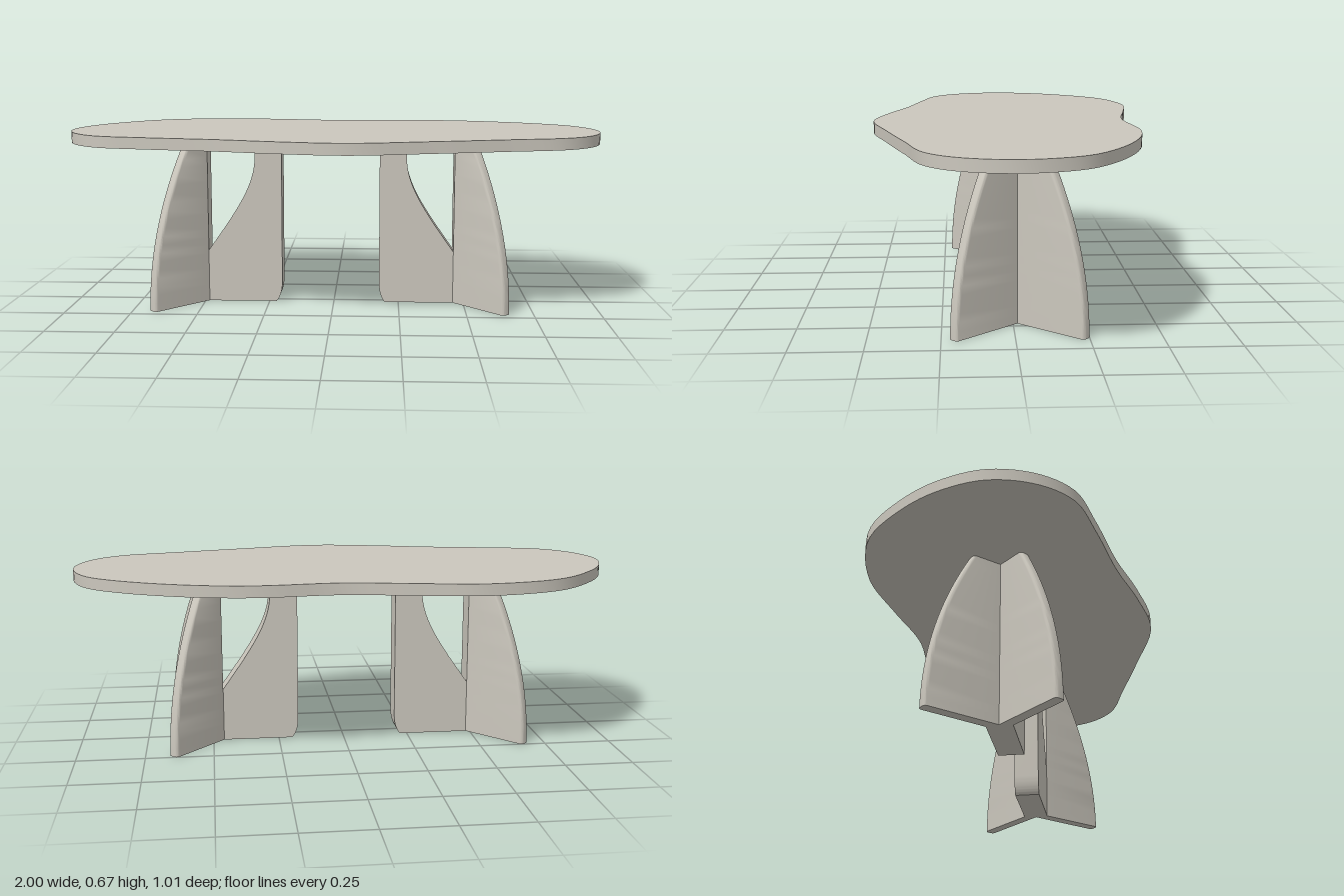
import * as THREE from 'three';
import { toCreasedNormals } from 'three/addons/utils/BufferGeometryUtils.js';

const stone = new THREE.MeshStandardMaterial({ color: 0xcbc7bd });
stone.name = 'warm grey stone';

const LEG_HEIGHT = 0.625;
const HALF_WIDTH = 0.047; // half thickness of the inner fin
const ANGLE = THREE.MathUtils.degToRad(47.8); // splay of the outer fins
const THICK = 0.04;
const LENGTH = 0.26;

function makeMesh(name, geometry, crease = 0.6) {
  const mesh = new THREE.Mesh(toCreasedNormals(geometry, crease), stone);
  mesh.name = name;
  return mesh;
}

// Organic slab outline, extruded to a thin top
function tabletop() {
  const outline = [
    [-1, 0.02], [-0.965, -0.14], [-0.88, -0.285], [-0.72, -0.44], [-0.46, -0.508], [-0.21, -0.476],
    [0.04, -0.433], [0.35, -0.455], [0.57, -0.415], [0.81, -0.305], [0.94, -0.19],
    [1, 0], [0.957, 0.18], [0.85, 0.29], [0.62, 0.36], [0.35, 0.435], [0.06, 0.502],
    [-0.18, 0.46], [-0.4, 0.395], [-0.66, 0.34], [-0.85, 0.285], [-0.955, 0.175],
  ].map(([x, z]) => new THREE.Vector3(x, z, 0));
  const points = new THREE.CatmullRomCurve3(outline, true, 'centripetal').getPoints(120).slice(0, -1);
  const shape = new THREE.Shape(points.map((p) => new THREE.Vector2(p.x, p.y)));
  const geometry = new THREE.ExtrudeGeometry(shape, { depth: 0.042, bevelEnabled: false });
  geometry.rotateX(Math.PI / 2).translate(0, 0.667, 0);
  return makeMesh('tabletop', geometry);
}

// Splayed fin: plan section with a rounded tip, drawn in towards the top
function outerFin(side) {
  const c = Math.cos(ANGLE), s = Math.sin(ANGLE);
  const at = (along, across) => [
    along * c + across * s,
    side * (HALF_WIDTH + along * s - across * c),
  ];
  const apex = (THICK - HALF_WIDTH * c) / s;
  const r = 0.014;
  const shape = new THREE.Shape();
  shape.moveTo(0, 0);
  shape.lineTo(apex, 0);
  shape.lineTo(...at(LENGTH - r, THICK));
  shape.quadraticCurveTo(...at(LENGTH, THICK), ...at(LENGTH, THICK - r));
  shape.lineTo(...at(LENGTH, r));
  shape.quadraticCurveTo(...at(LENGTH, 0), ...at(LENGTH - r, 0));
  shape.lineTo(0, side * HALF_WIDTH);
  const geometry = new THREE.ExtrudeGeometry(shape, {
    depth: LEG_HEIGHT, steps: 20, bevelEnabled: false, curveSegments: 5,
  });
  geometry.rotateX(Math.PI / 2).translate(0, LEG_HEIGHT, 0);
  const pos = geometry.attributes.position;
  for (let i = 0; i < pos.count; i++) {
    if (pos.getX(i) < 0.1) continue;
    const pull = 0.175 * (pos.getY(i) / LEG_HEIGHT) ** 2;
    pos.setX(i, pos.getX(i) - pull * c);
    pos.setZ(i, pos.getZ(i) - side * pull * s);
  }
  return makeMesh(side > 0 ? 'outerFinA' : 'outerFinB', geometry);
}

// Thick inner fin with a scooped upper edge
function innerFin() {
  const shape = new THREE.Shape();
  shape.moveTo(0, 0);
  shape.lineTo(0, 0.2);
  shape.lineTo(-0.07, 0.3);
  shape.bezierCurveTo(-0.13, 0.39, -0.18, 0.47, -0.182, 0.56);
  shape.lineTo(-0.182, LEG_HEIGHT);
  shape.lineTo(-0.285, LEG_HEIGHT);
  shape.lineTo(-0.285, 0.08);
  shape.quadraticCurveTo(-0.285, 0.025, -0.262, 0);
  const geometry = new THREE.ExtrudeGeometry(shape, {
    depth: HALF_WIDTH * 2, bevelEnabled: false, curveSegments: 14,
  });
  geometry.translate(0, 0, -HALF_WIDTH);
  return makeMesh('innerFin', geometry);
}

function leg(name, x, turn) {
  const group = new THREE.Group();
  group.name = name;
  group.add(innerFin(), outerFin(1), outerFin(-1));
  group.position.set(x, 0, -0.015);
  group.rotation.y = turn;
  return group;
}

export function createModel() {
  const model = new THREE.Group();
  model.name = 'table';
  model.add(tabletop(), leg('leftLeg', 0.46, 0), leg('rightLeg', -0.485, Math.PI));
  return model;
}
